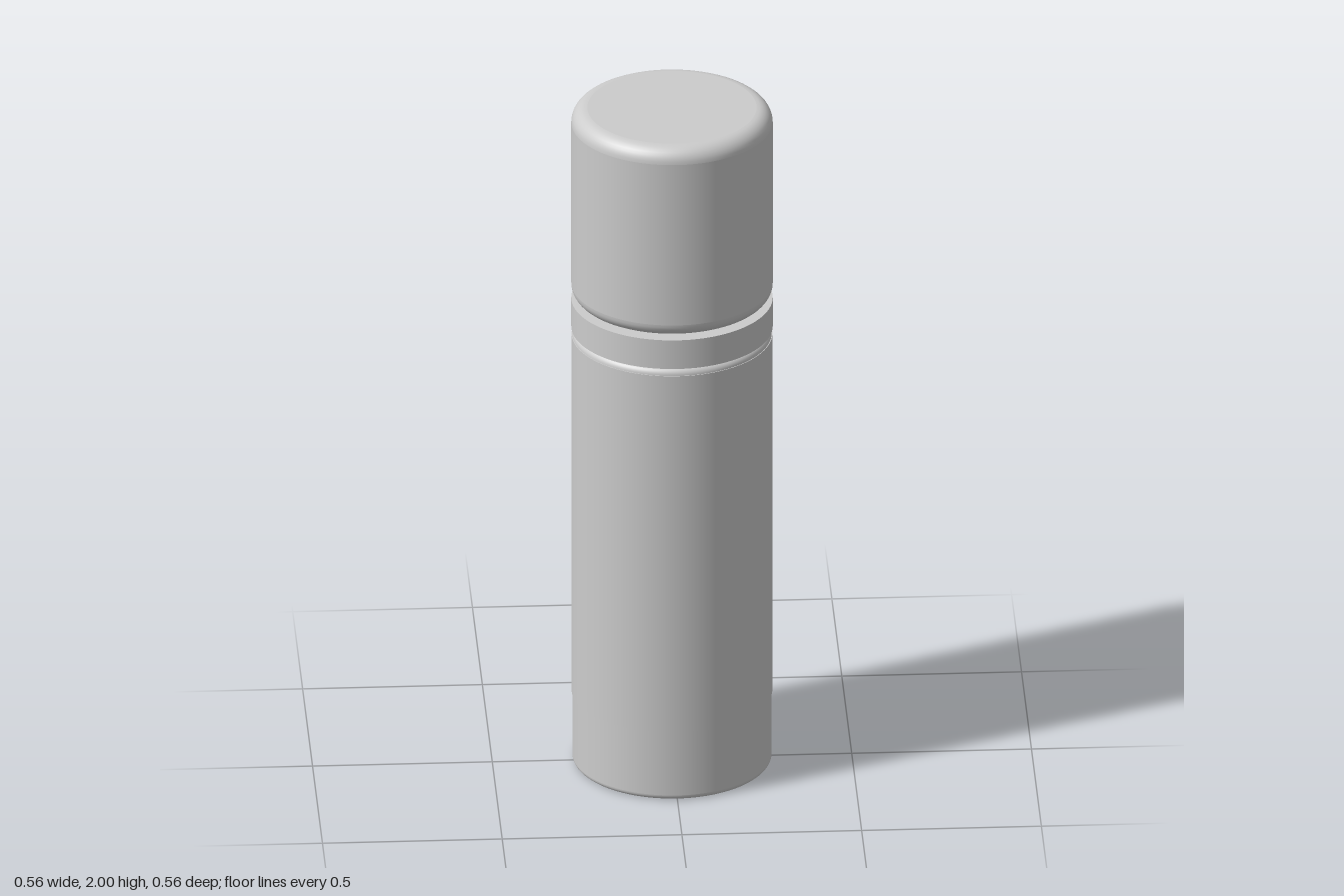
import * as THREE from 'three';

const SIDES = 96;

// Corner of a profile, repeated so the lathe keeps it sharp
const sharp = (x, y) => [new THREE.Vector2(x, y), new THREE.Vector2(x, y)];

// Quarter-round of radius r about (cx, cy), starting at angle a0
function round(cx, cy, r, a0, steps = 8) {
  return Array.from({ length: steps + 1 }, (_, i) => {
    const a = a0 + (i / steps) * Math.PI / 2;
    return new THREE.Vector2(cx + r * Math.cos(a), cy + r * Math.sin(a));
  });
}

// Solid cylinder with its own rounding at the bottom and top rims
function drum(radius, y0, y1, r0, r1) {
  const bottom = r0 ? round(radius - r0, y0 + r0, r0, -Math.PI / 2) : sharp(radius, y0);
  const top = r1 ? round(radius - r1, y1 - r1, r1, 0) : sharp(radius, y1);
  // Doubled points next to the flats keep the flats and walls evenly shaded
  const ends = [bottom[0], ...bottom, bottom.at(-1), top[0], ...top, top.at(-1)];
  const profile = [new THREE.Vector2(0, y0), ...ends, new THREE.Vector2(0, y1)];
  return new THREE.LatheGeometry(profile, SIDES);
}

export function createModel() {
  const group = new THREE.Group();
  const grey = new THREE.MeshStandardMaterial({ color: 0xcccccc });
  grey.name = 'light grey';

  const add = (name, geometry) => {
    const mesh = new THREE.Mesh(geometry, grey);
    mesh.name = name;
    group.add(mesh);
  };

  // Flask body with a softened base and shoulder
  add('body', drum(0.277, 0, 1.325, 0.015, 0.02));

  // Thin sleeve around the body, stopping short of the base
  add('sleeve', drum(0.279, 0.21, 1.305, 0, 0));

  // Narrow neck joining body, collar and cap
  add('neck', drum(0.235, 1.3, 1.45, 0, 0));

  // Square-edged collar
  add('collar', drum(0.28, 1.328, 1.416, 0, 0));

  // Rounded cap
  add('cap', drum(0.28, 1.422, 2, 0.04, 0.045));

  return group;
}
